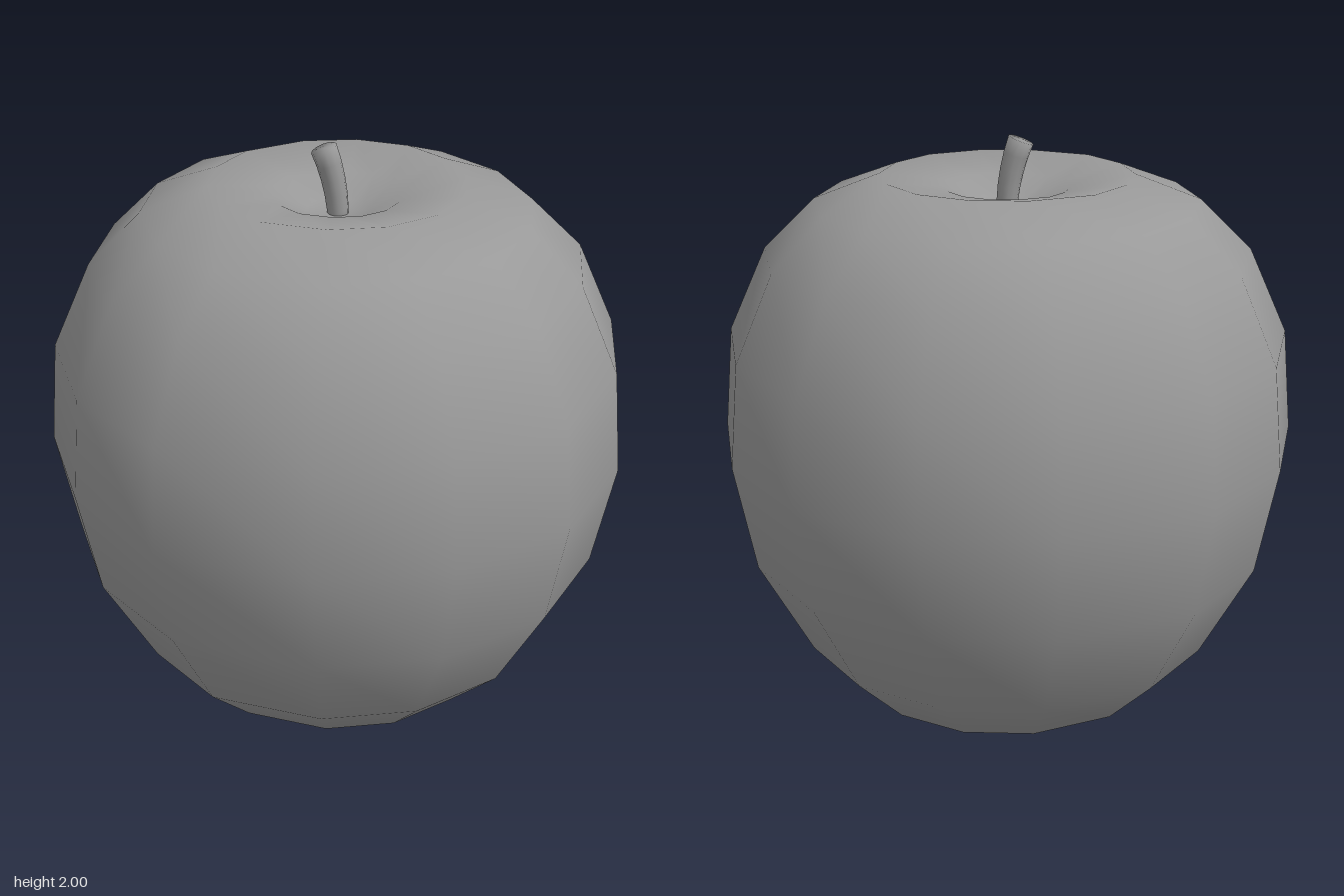
import * as THREE from 'three';
import { mergeVertices } from 'three/addons/utils/BufferGeometryUtils.js';

const grey = new THREE.MeshStandardMaterial({ color: 0x999999 });

// Weld a geometry so its shading is smooth all over
function smooth(geo) {
  geo.deleteAttribute('normal');
  geo.deleteAttribute('uv');
  const welded = mergeVertices(geo, 1e-4);
  welded.computeVertexNormals();
  return welded;
}

// Fruit: a smooth lathe with 14 slightly uneven sides, dimpled at both ends
function makeFruit() {
  const profile = [
    [0, 0.045], [0.09, 0.032], [0.18, 0.0], [0.3, 0.035], [0.52, 0.17], [0.7, 0.36],
    [0.87, 0.69], [0.933, 1.04], [0.9, 1.37], [0.775, 1.64], [0.61, 1.8],
    [0.4, 1.88], [0.2, 1.84], [0.1, 1.788], [0, 1.775],
  ].map(([r, y]) => new THREE.Vector2(r, y));
  // Angle in degrees and relative radius of each corner around one half
  const half = [
    [0, 1], [25.4, 1.003], [50, 1.02], [75.2, 1.01],
    [100.2, 1.003], [130, 1.02], [154.6, 1.003], [180, 1],
  ];
  const corners = [...half, ...half.slice(0, -1).reverse().map(([a, s]) => [360 - a, s])];

  const geo = new THREE.LatheGeometry(profile, corners.length - 1);
  const { position } = geo.attributes;
  // Move each column of vertices to its own angle and radius
  for (let i = 0; i < position.count; i++) {
    const [angle, scale] = corners[Math.floor(i / profile.length)];
    const a = THREE.MathUtils.degToRad(angle);
    const r = profile[i % profile.length].x * scale;
    position.setX(i, r * Math.cos(a));
    position.setZ(i, -r * Math.sin(a));
  }
  const mesh = new THREE.Mesh(smooth(geo), grey);
  mesh.name = 'fruit';
  return mesh;
}

// Stem: a flared cylinder bent towards -x along an arc
function makeStem() {
  const length = 0.25, bend = 0.36, radius = length / bend;
  const geo = new THREE.CylinderGeometry(0.041, 0.032, length, 12, 5);
  geo.translate(0, length / 2, 0);
  const { position } = geo.attributes;
  for (let i = 0; i < position.count; i++) {
    const a = position.getY(i) / radius;
    const r = radius + position.getX(i);
    position.setXY(i, r * Math.cos(a) - radius, r * Math.sin(a));
  }
  const mesh = new THREE.Mesh(smooth(geo), grey);
  mesh.name = 'stem';
  mesh.position.set(0.002, 1.741, 0);
  return mesh;
}

export function createModel() {
  const group = new THREE.Group();
  group.name = 'apple';
  group.add(makeFruit(), makeStem());
  return group;
}
